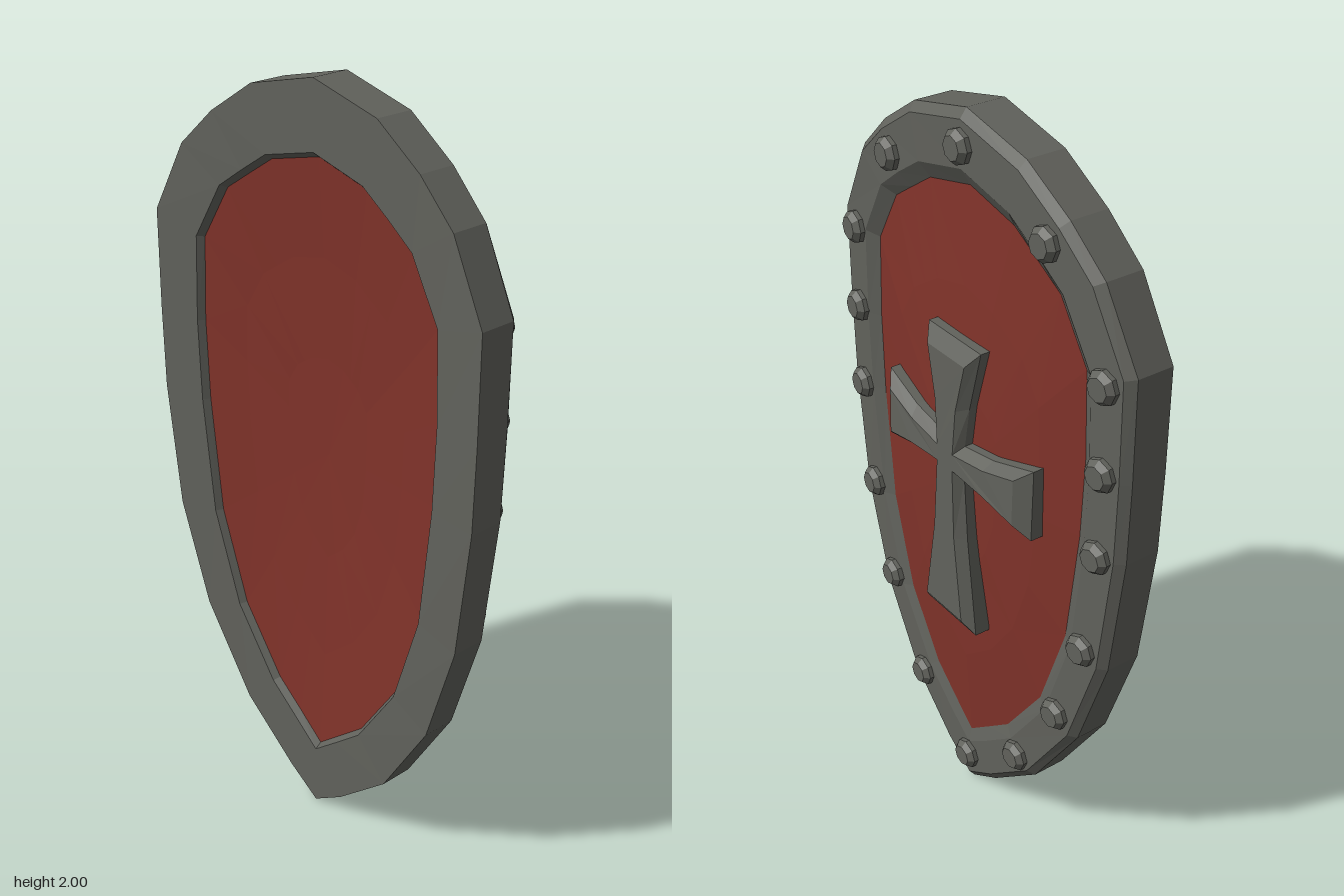
import * as THREE from 'three';

const steel = new THREE.MeshStandardMaterial({ color: 0x61625c });
steel.name = 'dark steel';
const red = new THREE.MeshStandardMaterial({ color: 0x81332a });
red.name = 'red paint';

// Mirrors the right half of an outline into a closed loop; points on x = 0 stay single
const mirrored = (half) => [
  ...half,
  ...half.filter((p) => p[0] > 0).reverse().map(([x, ...rest]) => [-x, ...rest]),
];

// Joins rings of points into a faceted skin; optionally caps the last ring towards -z
function skin(rings, { closed = false, cap = false } = {}) {
  const pos = [];
  const tri = (a, b, c) => {
    const [A, B, C] = [a, b, c].map((p) => new THREE.Vector3(...p));
    if (B.sub(A).cross(C.sub(A)).length() > 1e-9) pos.push(...a, ...b, ...c);
  };
  const n = rings[0].length;
  const last = closed ? rings.length : rings.length - 1;
  for (let r = 0; r < last; r++) {
    const R = rings[r], S = rings[(r + 1) % rings.length];
    for (let i = 0; i < n; i++) {
      const j = (i + 1) % n;
      tri(R[i], R[j], S[i]);
      tri(R[j], S[j], S[i]);
    }
  }
  if (cap) {
    const ring = rings[rings.length - 1];
    const flat = ring.map(([x, y]) => new THREE.Vector2(x, y));
    for (const [a, b, c] of THREE.ShapeUtils.triangulateShape(flat, [])) {
      const turn = flat[b].clone().sub(flat[a]).cross(flat[c].clone().sub(flat[a]));
      if (turn < 0) tri(ring[a], ring[b], ring[c]);
      else tri(ring[a], ring[c], ring[b]);
    }
  }
  const geo = new THREE.BufferGeometry();
  geo.setAttribute('position', new THREE.Float32BufferAttribute(pos, 3));
  geo.computeVertexNormals();
  return geo;
}

// Outer and inner rim outlines with matching points, from the top down
const outer = mirrored([
  [0, 2], [0.21, 1.95], [0.35, 1.86], [0.46, 1.76], [0.562, 1.57], [0.562, 1.3],
  [0.557, 1.08], [0.517, 0.74], [0.425, 0.455], [0.27, 0.21], [0.1, 0.065], [0, 0],
]);
const inner = mirrored([
  [0, 1.83], [0.165, 1.79], [0.25, 1.735], [0.33, 1.68], [0.42, 1.53], [0.428, 1.3],
  [0.42, 1.08], [0.385, 0.76], [0.3, 0.5], [0.17, 0.31], [0.08, 0.235], [0, 0.17],
]);
const between = (t) => outer.map(([x, y], i) => [x + (inner[i][0] - x) * t, y + (inner[i][1] - y) * t]);

// The panel sits slightly inside the inner outline, so the rim walls slope
const PANEL = 1.08;
const panelOutline = between(PANEL);

// Bowed surfaces of the rim
const bow = (x) => 0.03 * (x / 0.56) ** 2;
const rimInside = (x, y) => 0.082 + bow(x) - 0.003 * y;
const rimEdge = (x, y) => -0.008 + bow(x) * 1.1 - 0.01 * y;
const rimFace = (x, y) => -0.026 + bow(x) - 0.01 * y;
const panelEdge = (x) => -0.018 + bow(x);
const panelInside = (x, y) => rimInside(x, y) - 0.018;

function addMesh(parent, name, geo, material) {
  const mesh = new THREE.Mesh(geo, material);
  mesh.name = name;
  parent.add(mesh);
  return mesh;
}

export function createModel() {
  const shield = new THREE.Group();
  shield.name = 'shield';

  // Rim: bevelled section swept between the two outlines
  const section = [
    [0, rimInside], [0, rimEdge], [0.14, rimFace], [0.82, rimFace],
    [PANEL, panelEdge], [PANEL, panelInside], [1, rimInside],
  ];
  const rimRings = section.map(([t, depth]) => between(t).map(([x, y]) => [x, y, depth(x, y)]));
  addMesh(shield, 'rim', skin(rimRings, { closed: true }), steel);

  // Panel: domed outer face and hollow inner face
  const panelRings = (steps, edge, centreZ) => steps.map((s) => panelOutline.map(([x, y]) => [
    x * s, 1.05 + (y - 1.05) * s, edge(x, y) * s * s + centreZ * (1 - s * s),
  ]));
  const steps = [1, 0.68, 0.34, 0];
  addMesh(shield, 'panelOuterFace', skin(panelRings(steps, panelEdge, -0.052)), red);
  addMesh(shield, 'panelInnerFace', skin(panelRings([...steps].reverse(), panelInside, 0.03)), red);

  // Flared cross: base x, y and bevelled top x, y
  const cross = mirrored([
    [0.105, 1.445, 0.075, 1.405], [0.066, 1.28, 0.042, 1.27], [0.05, 1.168, 0.032, 1.143],
    [0.16, 1.183, 0.15, 1.158], [0.298, 1.22, 0.258, 1.185], [0.298, 1.025, 0.258, 1.06],
    [0.16, 1.06, 0.15, 1.085], [0.05, 1.072, 0.032, 1.097], [0.066, 0.9, 0.042, 0.9],
    [0.107, 0.62, 0.077, 0.66],
  ]).map(([x, y, tx, ty]) => [x, y, x < 0 ? -tx : tx, ty]);
  const crossTop = (x, y) => -0.099 + 0.19 * x * x + 0.02 * (y - 1.1);
  addMesh(shield, 'crossEmblem', skin([
    cross.map(([x, y]) => [x, y, crossTop(x, y) + 0.068]),
    cross.map(([x, y]) => [x, y, crossTop(x, y) + 0.025]),
    cross.map(([, , x, y]) => [x, y, crossTop(x, y)]),
  ], { cap: true }), steel);

  // Rivets around the rim
  const profile = [[0.043, -0.01], [0.043, 0.012], [0.03, 0.027], [0, 0.027]];
  const rivetGeo = new THREE.LatheGeometry(profile.map((p) => new THREE.Vector2(...p)), 8)
    .rotateX(-Math.PI / 2).toNonIndexed();
  rivetGeo.computeVertexNormals();
  const rivets = new THREE.Group();
  rivets.name = 'rivets';
  shield.add(rivets);
  const spots = mirrored([
    [0, 1.915], [0.3, 1.795], [0.49, 1.53], [0.492, 1.305], [0.487, 1.075],
    [0.45, 0.775], [0.365, 0.51], [0.215, 0.255], [0, 0.1],
  ]);
  for (const [x, y] of spots) {
    const rivet = addMesh(rivets, 'rivet', rivetGeo, steel);
    rivet.position.set(x, y, rimFace(x, y));
    rivet.rotation.y = -Math.atan(0.19 * x);
  }
  return shield;
}
